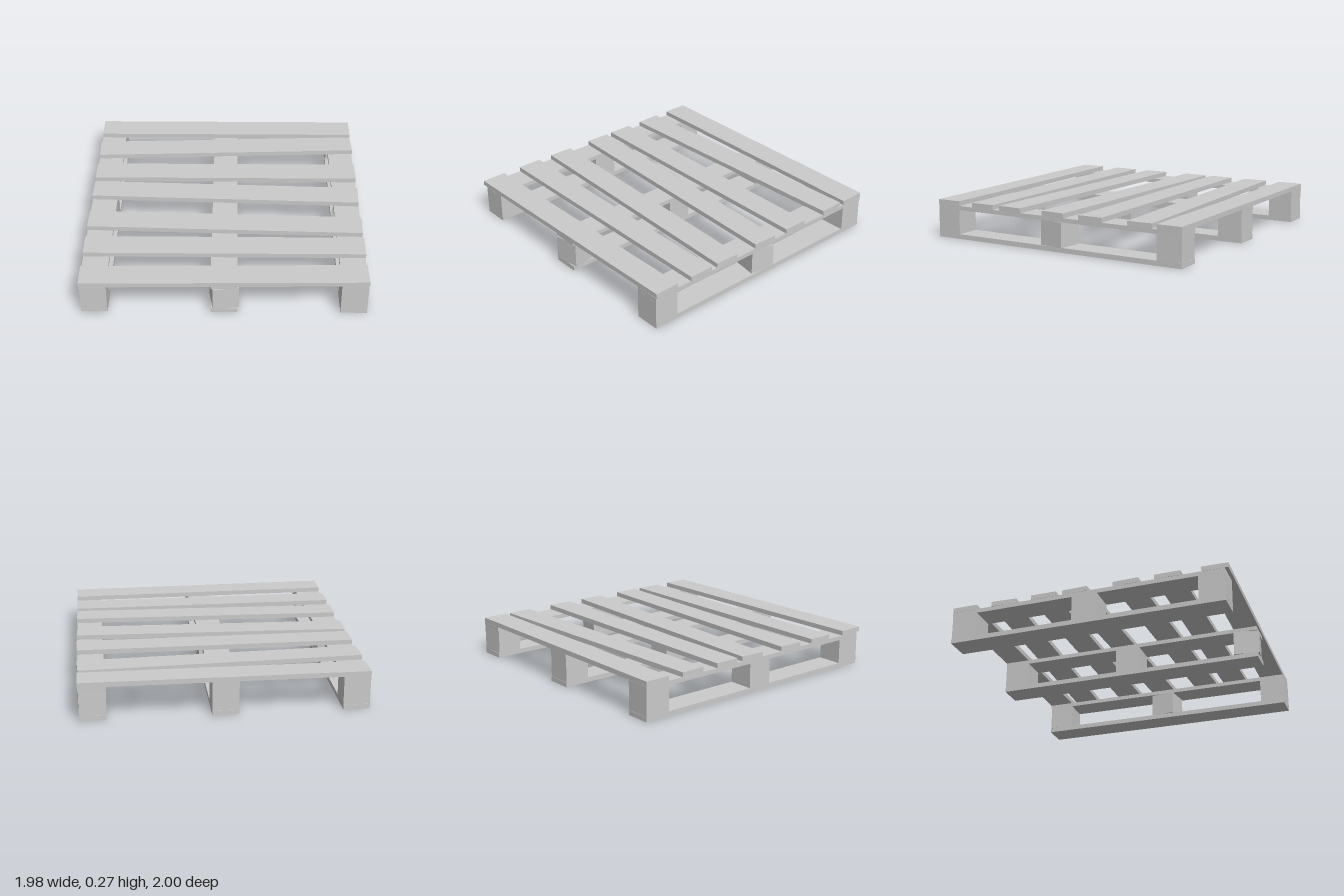
import * as THREE from 'three';

export function createModel() {
  const group = new THREE.Group();
  const material = new THREE.MeshStandardMaterial({ color: 0xcccccc, flatShading: true });

  // A box given by its size, its centre in plan, its underside and its turn about y
  function addBox(name, [w, h, d], x, bottom, z, turn = 0) {
    const mesh = new THREE.Mesh(new THREE.BoxGeometry(w, h, d), material);
    mesh.name = name;
    mesh.position.set(x, bottom + h / 2, z);
    mesh.rotation.y = turn;
    group.add(mesh);
  }

  const columns = { right: -0.897, centre: -0.005, left: 0.886 };
  const rows = { front: 0.88, middle: -0.01, back: -0.905 };

  // Blocks knocked slightly out of square
  const blockTurns = { centrefront: 0.14, leftmiddle: -0.14, leftback: 0.03 };

  for (const [side, x] of Object.entries(columns)) {
    // Runners under and over each line of blocks
    addBox(`${side}BottomRunner`, [0.183, 0.034, 1.97], x, 0, -0.014);
    addBox(`${side}TopRunner`, [0.183, 0.03, 1.97], x, 0.209, -0.014);
    // Spacer blocks
    for (const [row, z] of Object.entries(rows)) {
      addBox(`${side}${row}Block`, [0.183, 0.175, 0.183], x, 0.034, z, blockTurns[side + row] ?? 0);
    }
  }

  // Deck boards from back to front: centre z and crooked turn
  const boards = [
    [-0.907, 0], [-0.65, 0.041], [-0.312, 0], [-0.047, -0.0355],
    [0.315, -0.031], [0.58, 0], [0.891, 0.014],
  ];
  boards.forEach(([z, turn], i) => {
    addBox(`deckBoard${i + 1}`, [1.97, 0.034, 0.183], -0.005, 0.239, z, turn);
  });

  return group;
}
